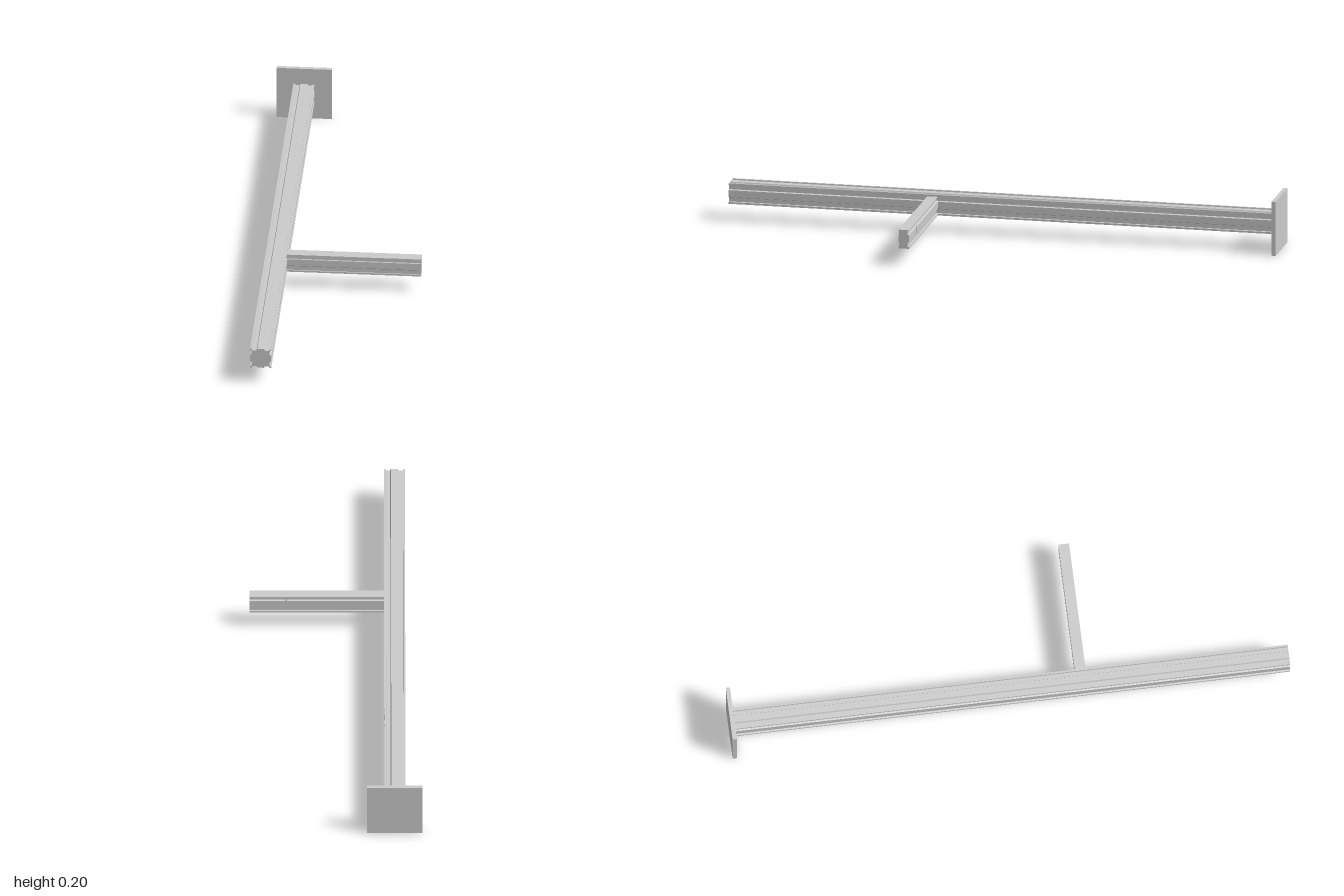
import * as THREE from 'three';

const H = 0.0375; // half width of the square rail
const BX = -0.2095, BY = 0.1; // rail axis

// One side of a slotted profile, as [along, depth] points: lip, slot, ridge, slot, lip
function sidePoints(depth, ridge = true) {
  const half = ridge
    ? [[-H, 0], [-0.031, 0], [-0.030, depth], [-0.015, depth], [-0.0125, 0]]
    : [[-H, 0], [-0.031, 0], [-0.030, depth]];
  return [...half, ...half.slice(1).reverse().map(([a, d]) => [-a, d])];
}

function extrude(points, length) {
  const shape = new THREE.Shape(points.map(([x, y]) => new THREE.Vector2(x, y)));
  return new THREE.ExtrudeGeometry(shape, { depth: length, bevelEnabled: false });
}

export function createModel() {
  const group = new THREE.Group();
  const material = new THREE.MeshStandardMaterial({ color: 0xcccccc, flatShading: true });
  const add = (name, geometry, x, y, z, parent = group) => {
    const mesh = new THREE.Mesh(geometry, material);
    mesh.name = name;
    mesh.position.set(x, y, z);
    parent.add(mesh);
    return mesh;
  };

  // Long rail: the slotted side repeated around the square
  const square = [];
  for (let i = 0; i < 4; i++) {
    const c = Math.round(Math.cos(i * Math.PI / 2)), s = Math.round(Math.sin(i * Math.PI / 2));
    for (const [a, d] of sidePoints(0.006)) {
      const y = d - H;
      square.push([a * c - y * s, a * s + y * c]);
    }
  }
  add('mainRail', extrude(square, 1.985), BX, BY, -0.985);

  // Square end plate
  add('endPlate', new THREE.BoxGeometry(0.197, 0.198, 0.015), -0.2085, 0.099, -0.9925);

  // Side arm: deep slots behind, shallow ones in front, a small cut in the back ridge
  const arm = new THREE.Group();
  arm.name = 'sideArm';
  group.add(arm);
  const zBack = 0.24, zFront = 0.278;
  const armSection = (ridge) => [
    ...sidePoints(0.006, ridge).map(([a, d]) => [-(zBack + d), a]),
    ...sidePoints(0.002).reverse().map(([a, d]) => [-(zFront - d), a]),
  ];
  const pieces = [
    ['armInner', -0.174, 0.172, true],
    ['armCut', 0.172, 0.178, false],
    ['armOuter', 0.178, 0.305, true],
  ];
  for (const [name, x0, x1, ridge] of pieces) {
    const mesh = add(name, extrude(armSection(ridge).reverse(), x1 - x0), x0, BY, 0, arm);
    mesh.rotation.y = Math.PI / 2;
  }
  return group;
}
